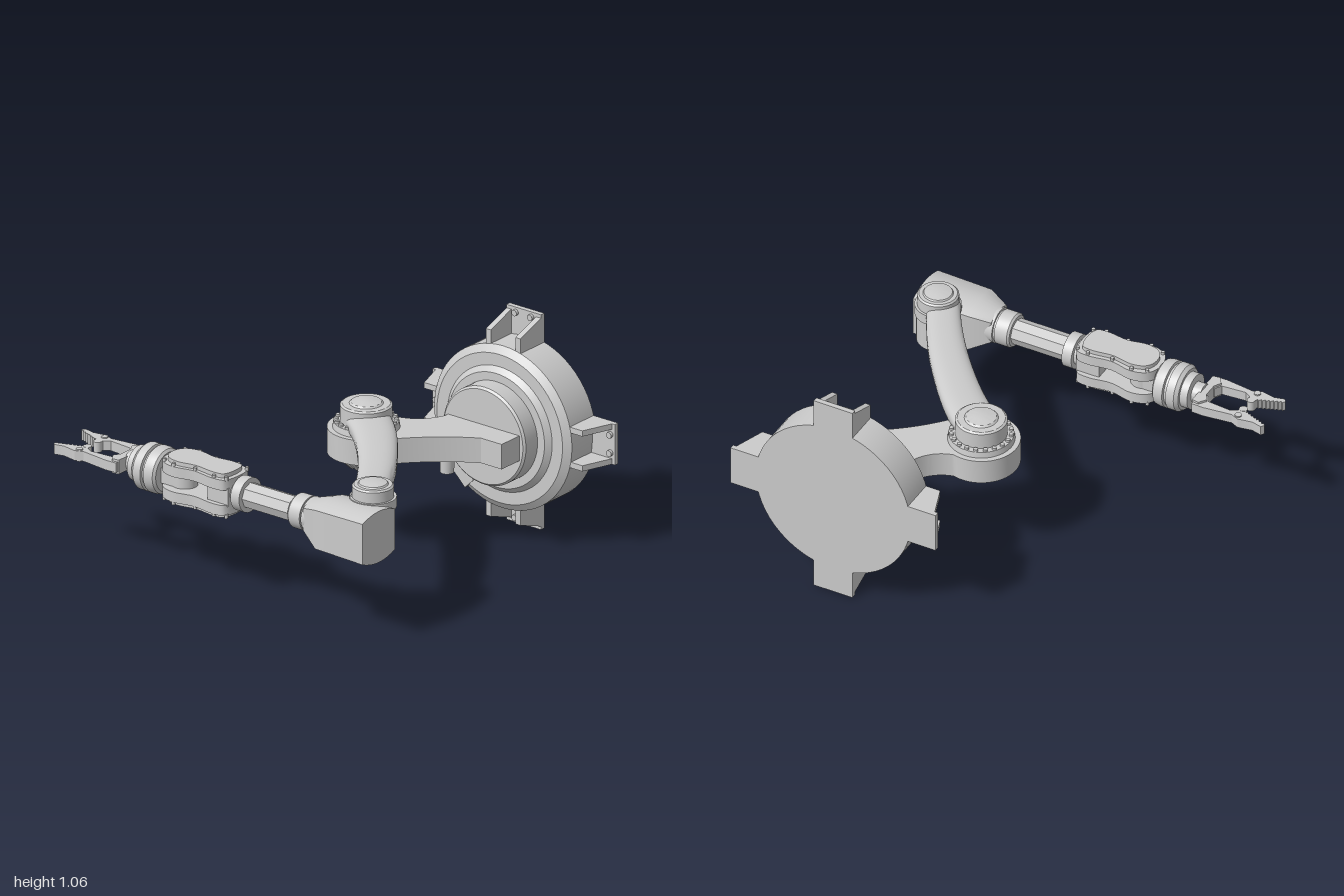
import * as THREE from 'three';
import { toCreasedNormals } from 'three/addons/utils/BufferGeometryUtils.js';

const material = new THREE.MeshStandardMaterial({ color: 0xcccccc });
const AXIS_Y = 0.515, AXIS_Z = 0.688; // forearm axis

function add(parent, name, geometry, x = 0, y = 0, z = 0) {
  const mesh = new THREE.Mesh(geometry, material);
  mesh.name = name;
  mesh.position.set(x, y, z);
  parent.add(mesh);
  return mesh;
}

const box = (w, h, d) => new THREE.BoxGeometry(w, h, d);
const lathe = (profile, sides = 48) => toCreasedNormals(
  new THREE.LatheGeometry(profile.map(([r, h]) => new THREE.Vector2(r, h)), sides), 0.5);

// Upright slab from a plan shape whose y is -z
function slab(shape, y0, y1) {
  const g = new THREE.ExtrudeGeometry(shape, { depth: y1 - y0, bevelEnabled: false, curveSegments: 24 });
  g.rotateX(-Math.PI / 2).translate(0, y0, 0);
  return toCreasedNormals(g, 0.5);
}
const plan = (pts) => new THREE.Shape(pts.map(([x, z]) => new THREE.Vector2(x, -z)));

// Capped skin over rings of Vector3, counter-clockwise about the direction of travel
function loft(rings, crease) {
  const n = rings[0].length, pos = [], index = [];
  rings.forEach((ring) => ring.forEach((p) => pos.push(p.x, p.y, p.z)));
  for (let i = 0; i < rings.length - 1; i++) {
    for (let j = 0; j < n; j++) {
      const a = i * n + j, b = i * n + (j + 1) % n;
      index.push(a, b, a + n, b, b + n, a + n);
    }
  }
  const last = (rings.length - 1) * n;
  for (let j = 1; j < n - 1; j++) index.push(0, j + 1, j, last, last + j, last + j + 1);
  const g = new THREE.BufferGeometry();
  g.setAttribute('position', new THREE.Float32BufferAttribute(pos, 3));
  g.setIndex(index);
  return toCreasedNormals(g, crease);
}

// Ring of small upright bolts
function boltRing(parent, count, radius, size, x, y, z) {
  for (let i = 0; i < count; i++) {
    const a = (i / count) * Math.PI * 2;
    add(parent, 'bolt', new THREE.CylinderGeometry(size, size, 0.02, 8),
      x + radius * Math.cos(a), y, z + radius * Math.sin(a));
  }
}

function buildBase() {
  const base = new THREE.Group();
  base.name = 'wallBase';
  base.position.set(0.47, 0.53, 0);
  add(base, 'baseDisc', lathe([[0, -0.82], [0.4, -0.82], [0.4, -0.645], [0.365, -0.62], [0.305, -0.62],
    [0.28, -0.595], [0.24, -0.595], [0.24, -0.51], [0.23, -0.5], [0, -0.5]], 64).rotateX(Math.PI / 2));
  // Four mounting brackets
  const gusset = new THREE.Shape([[0.34, -0.82], [0.53, -0.82], [0.53, -0.8], [0.515, -0.8],
    [0.46, -0.645], [0.34, -0.645]].map(([r, z]) => new THREE.Vector2(r, z)));
  const turn = new THREE.Matrix4().makeBasis(
    new THREE.Vector3(0, 1, 0), new THREE.Vector3(0, 0, 1), new THREE.Vector3(1, 0, 0));
  for (let k = 0; k < 4; k++) {
    const bracket = new THREE.Group();
    bracket.name = 'mountingBracket';
    bracket.rotation.z = k * Math.PI / 2;
    for (const x of [-0.1, 0.072]) {
      const g = new THREE.ExtrudeGeometry(gusset, { depth: 0.028, bevelEnabled: false });
      add(bracket, 'bracketGusset', g.applyMatrix4(turn), x);
    }
    add(bracket, 'bracketPlate', box(0.2, 0.19, 0.025), 0, 0.435, -0.8075);
    for (const x of [-0.045, 0.045]) {
      add(bracket, 'bracketBolt', new THREE.CylinderGeometry(0.015, 0.015, 0.02, 12).rotateX(Math.PI / 2), x, 0.505, -0.79);
    }
    base.add(bracket);
  }
  // Cover on the rim
  const cover = add(base, 'rimCover', box(0.2, 0.07, 0.06), -0.245, -0.245, -0.645);
  cover.rotation.z = -Math.PI / 4;
  return base;
}

function buildShoulder() {
  const g = new THREE.Group(), cx = 0.06, cz = -0.16;
  g.name = 'shoulder';
  const s = new THREE.Shape();
  s.moveTo(0.68, 0.51);
  s.lineTo(0.68, 0.37);
  s.lineTo(0.56, 0.37);
  s.quadraticCurveTo(0.36, 0.26, 0.213, 0.065);
  s.absarc(cx, -cz, 0.18, -0.56, 1.3, true);
  s.quadraticCurveTo(0.22, 0.36, 0.265, 0.48);
  s.lineTo(0.265, 0.51);
  add(g, 'shoulderBracket', slab(s, 0.465, 0.588));
  add(g, 'bearingRing', new THREE.CylinderGeometry(0.15, 0.155, 0.03, 48), cx, 0.602, cz);
  boltRing(g, 20, 0.138, 0.011, cx, 0.618, cz);
  add(g, 'shoulderCap', lathe([[0, 0.6], [0.12, 0.6], [0.12, 0.695], [0.11, 0.702], [0.078, 0.702],
    [0.07, 0.71], [0.035, 0.717], [0, 0.719]]), cx, 0, cz);
  // Ribbed motor below
  add(g, 'motor', lathe([[0, 0.392], [0.06, 0.392], [0.065, 0.402], [0.085, 0.402], [0.12, 0.44], [0.13, 0.47], [0, 0.47]]), cx, 0, cz);
  for (let i = 0; i < 14; i++) {
    const pivot = new THREE.Group();
    pivot.name = 'motorRib';
    pivot.position.set(cx, 0.434, cz);
    pivot.rotation.y = (i / 14) * Math.PI * 2;
    add(pivot, 'rib', box(0.078, 0.022, 0.022), 0.108).rotation.z = 0.75;
    g.add(pivot);
  }
  add(g, 'cableSocket', new THREE.CylinderGeometry(0.035, 0.032, 0.095, 24), 0.375, 0.427, -0.355);
  return g;
}

function buildUpperArm() {
  const g = new THREE.Group();
  g.name = 'upperArm';
  const path = new THREE.CatmullRomCurve3([[0.06, -0.16], [0.2, -0.04], [0.33, 0.1], [0.48, 0.29], [0.59, 0.46], [0.665, 0.6]]
    .map(([x, z]) => new THREE.Vector3(x, 0.633, z)));
  const rings = [];
  for (let i = 0; i <= 24; i++) {
    const t = i / 24, p = path.getPoint(t), d = path.getTangent(t), half = 0.108 - 0.034 * t;
    rings.push(Array.from({ length: 32 }, (_, j) => {
      const a = (j / 32) * Math.PI * 2, c = Math.cos(a), s = Math.sin(a);
      const e = s < 0 ? 0.35 : 0.8; // flatter underside
      const u = half * Math.sign(c) * Math.abs(c) ** e, v = 0.043 * Math.sign(s) * Math.abs(s) ** e;
      return new THREE.Vector3(p.x + d.z * u, p.y + v, p.z - d.x * u);
    }));
  }
  add(g, 'curvedLink', loft(rings, 0.8));
  add(g, 'elbowCap', lathe([[0, 0.59], [0.108, 0.59], [0.108, 0.64], [0.096, 0.64], [0.096, 0.692], [0.088, 0.7],
    [0.07, 0.7], [0.065, 0.707], [0.035, 0.713], [0, 0.714]]), 0.676, 0, 0.565);
  return g;
}

function buildForearm() {
  const g = new THREE.Group();
  g.name = 'forearm';
  // Housing sections: x, centre y, half height, half depth, bow
  const sections = [[0.43, 0.525, 0.055, 0.075, 0.025], [0.53, 0.514, 0.095, 0.115, 0.026], [0.81, 0.513, 0.1, 0.119, 0.026]];
  const corner = [[-1, -1], [1, -1], [1, 1], [-1, 1]];
  add(g, 'elbowHousing', loft(sections.map(([x, cy, h, d, bow]) => {
    const ring = [];
    corner.forEach(([y0, z0], k) => {
      const [y1, z1] = corner[(k + 1) % 4];
      for (let i = 0; i < 8; i++) {
        const t = i / 8, v = y0 + (y1 - y0) * t, w = z0 + (z1 - z0) * t;
        const bulge = k % 2 ? Math.sign(v) * bow * (1 - w * w) : 0;
        ring.push(new THREE.Vector3(x, cy + v * h + bulge, 0.692 + w * d));
      }
    });
    return ring;
  }), 0.4));
  add(g, 'elbowSocket', lathe([[0, 0.42], [0.09, 0.42], [0.105, 0.435], [0.105, 0.605], [0, 0.605]]), 0.676, 0, 0.575);
  const along = (name, profile, sides) => // profile heights run toward -x
    add(g, name, lathe(profile, sides).rotateZ(Math.PI / 2), 0, AXIS_Y + 0.008, AXIS_Z);
  along('rearCollar', [[0, -0.46], [0.083, -0.46], [0.085, -0.42], [0.075, -0.42], [0.075, -0.41], [0.083, -0.41], [0.083, -0.345], [0.075, -0.335], [0, -0.335]]);
  along('forearmRod', [[0, -0.35], [0.062, -0.35], [0.062, -0.04], [0, -0.04]], 8);
  along('frontCollar', [[0, -0.06], [0.083, -0.06], [0.083, -0.01], [0.06, -0.01], [0.06, 0.02], [0, 0.02]]);
  return g;
}

function buildWrist() {
  const g = new THREE.Group();
  g.name = 'wrist';
  // Waisted fork plates with edge bolts
  const half = [[-0.41, 0.04], [-0.38, 0.085], [-0.31, 0.106], [-0.2, 0.086], [-0.08, 0.1], [-0.02, 0.085]];
  const loop = [...half, ...half.map(([x, d]) => [x, -d]).reverse()];
  const curve = new THREE.CatmullRomCurve3(loop.map(([x, d]) => new THREE.Vector3(x, 0, d)), true);
  const outline = (k) => plan(curve.getPoints(60).slice(0, 60).map((p) => [(p.x + 0.21) * (0.5 + k / 2) - 0.21, AXIS_Z + p.z * k]));
  for (const s of [1, -1]) {
    const layer = (name, k, a, b) => add(g, name, slab(outline(k), AXIS_Y + Math.min(s * a, s * b), AXIS_Y + Math.max(s * a, s * b)));
    layer('forkPlate', 1, 0.037, 0.088);
    layer('forkCover', 0.78, 0.088, 0.108);
    half.slice(1).forEach(([x, d]) => [1, -1].forEach((m) =>
      add(g, 'forkBolt', new THREE.CylinderGeometry(0.009, 0.009, 0.02, 8), x, AXIS_Y + s * 0.092, AXIS_Z + m * (d - 0.01))));
  }
  add(g, 'forkBridge', box(0.12, 0.09, 0.15), -0.07, AXIS_Y, AXIS_Z);
  add(g, 'wristPivot', new THREE.CylinderGeometry(0.06, 0.06, 0.08, 32), -0.32, AXIS_Y, AXIS_Z);
  add(g, 'wristTongue', box(0.12, 0.075, 0.11), -0.37, AXIS_Y, AXIS_Z);
  // Banded rotating drum
  add(g, 'wristDrum', lathe([[0, 0.415], [0.095, 0.415], [0.108, 0.425], [0.113, 0.45], [0.113, 0.475], [0.1, 0.478], [0.1, 0.49],
    [0.113, 0.493], [0.113, 0.535], [0.1, 0.552], [0.085, 0.552], [0.085, 0.59], [0.05, 0.592], [0.05, 0.635], [0, 0.635]])
    .rotateZ(Math.PI / 2), 0, AXIS_Y, AXIS_Z);
  return g;
}

function buildGripper() {
  const g = new THREE.Group();
  g.name = 'gripper';
  const at = (s) => ([x, d]) => [x, AXIS_Z - s * d];
  add(g, 'palm', slab(plan([[-0.625, 0.1], [-0.66, 0.105], [-0.685, 0.07], [-0.665, 0.035], [-0.665, -0.035],
    [-0.685, -0.07], [-0.66, -0.105], [-0.625, -0.1]].map(at(1))), AXIS_Y - 0.035, AXIS_Y + 0.035));
  for (const s of [1, -1]) {
    // Toothed jaw
    const teeth = [];
    for (let i = 0; i <= 14; i++) {
      const t = i / 14;
      teeth.push([-1 + 0.12 * t, 0.1 - 0.045 * t - (i % 2 ? 0.009 : 0)]);
    }
    const pts = [[-0.63, 0.115], [-0.69, 0.117], [-0.83, 0.1], [-0.87, 0.117], [-0.94, 0.105], [-0.99, 0.117],
      ...teeth, [-0.875, 0.03], [-0.85, 0.025], [-0.84, 0.055], [-0.81, 0.075], [-0.69, 0.065], [-0.67, 0.03], [-0.63, 0.03]];
    add(g, 'finger', slab(plan(pts.map(at(s))), AXIS_Y - 0.024, AXIS_Y + 0.024));
    add(g, 'fingerHook', new THREE.CylinderGeometry(0.02, 0.02, 0.05, 20), -0.857, AXIS_Y, AXIS_Z - s * 0.037);
    add(g, 'fingerKnuckle', new THREE.CylinderGeometry(0.016, 0.016, 0.06, 16), -0.86, AXIS_Y, AXIS_Z - s * 0.092);
  }
  return g;
}

export function createModel() {
  const model = new THREE.Group();
  model.name = 'robotArm';
  model.add(buildBase(), buildShoulder(), buildUpperArm(), buildForearm(), buildWrist(), buildGripper());
  return model;
}
